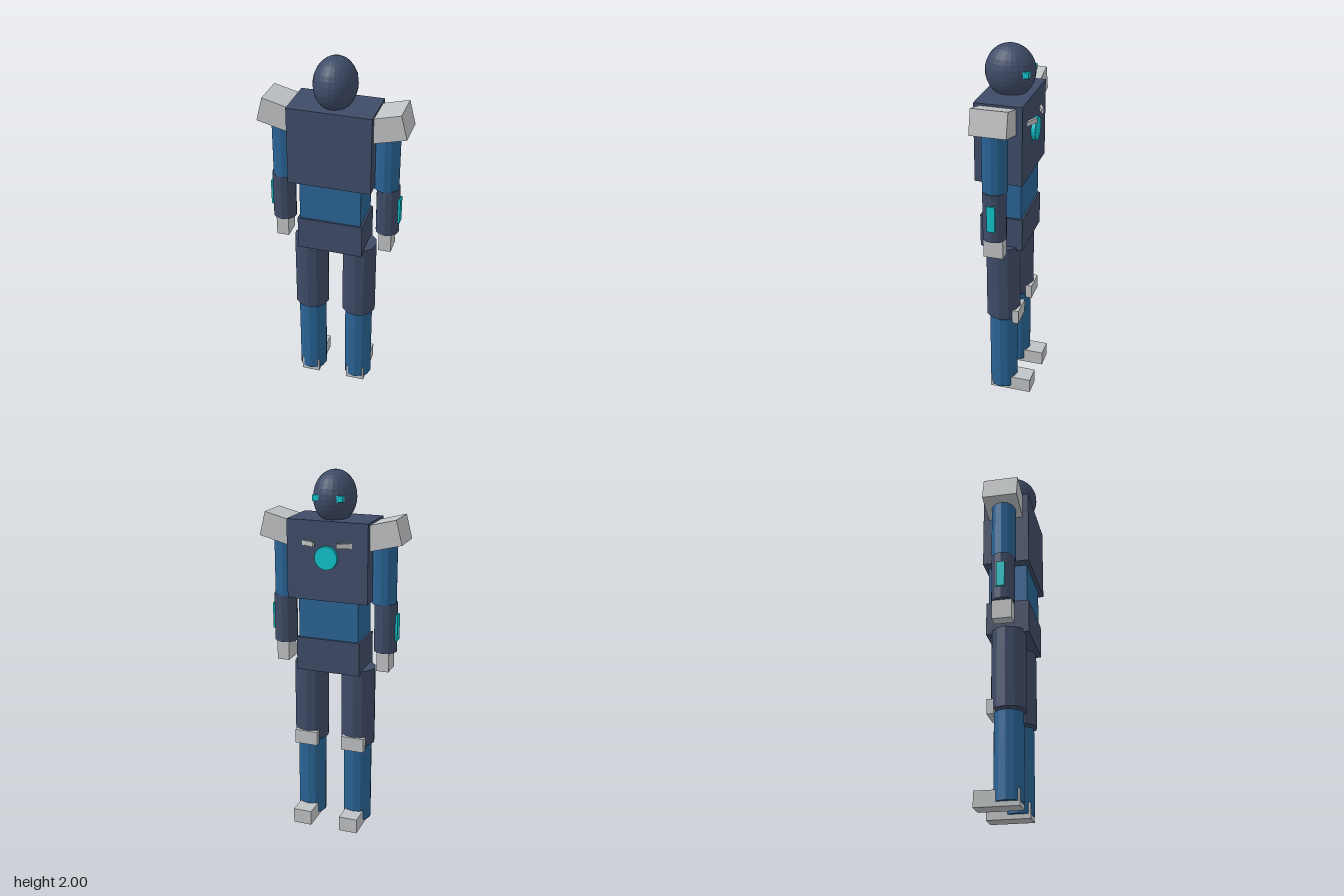
import * as THREE from 'three';

const paint = (name, color) => {
  const m = new THREE.MeshStandardMaterial({ color, flatShading: true });
  m.name = name;
  return m;
};

export function createModel() {
  const navy = paint('navy', 0x3f4c68);
  const blue = paint('blue', 0x2a6496);
  const grey = paint('lightGrey', 0xc0c3c5);
  const cyan = paint('cyan', 0x10c4cc);

  const model = new THREE.Group();
  model.name = 'robot';
  const Z = 0.017; // depth of the body axis; the face points to -z

  const add = (name, geometry, material, x, y, z, parent = model) => {
    const mesh = new THREE.Mesh(geometry, material);
    mesh.name = name;
    mesh.position.set(x, y, z);
    parent.add(mesh);
    return mesh;
  };
  // Box given by its size and vertical range
  const box = (name, mat, w, d, y0, y1, x, z, parent) =>
    add(name, new THREE.BoxGeometry(w, y1 - y0, d), mat, x, (y0 + y1) / 2, z, parent);
  // Twelve-sided limb segment
  const limb = (name, mat, r, y0, y1, x, parent) =>
    add(name, new THREE.CylinderGeometry(r, r, y1 - y0, 12), mat, x, (y0 + y1) / 2, Z, parent);

  // Body
  box('chest', navy, 0.446, 0.253, 1.328, 1.752, 0, Z);
  box('waist', blue, 0.334, 0.211, 1.11, 1.33, 0, Z);
  box('pelvis', navy, 0.356, 0.232, 0.925, 1.11, 0, Z);

  // Head
  add('head', new THREE.SphereGeometry(1, 24, 16), navy, 0, 1.86, Z).scale.set(0.113, 0.14, 0.132);

  // Round chest light
  const light = add('chestLight', new THREE.CylinderGeometry(0.062, 0.062, 0.03, 20), cyan, 0, 1.562, -0.115);
  light.rotation.x = Math.PI / 2;

  for (const s of [1, -1]) {
    const side = s > 0 ? 'left' : 'right';

    // Eye and chest chevron
    box(side + 'Eye', cyan, 0.046, 0.03, 1.85, 1.881, s * 0.06, -0.085);
    box(side + 'Chevron', grey, 0.1, 0.014, 1.62, 1.645, s * 0.107, -0.116).rotation.y = -s * 0.43;

    // Arm
    const arm = new THREE.Group();
    arm.name = side + 'Arm';
    model.add(arm);
    box('shoulderPad', grey, 0.19, 0.19, 1.622, 1.754, s * 0.284, Z, arm).rotation.z = s * 0.25;
    limb('upperArm', blue, 0.068, 1.315, 1.64, s * 0.276, arm);
    limb('forearm', navy, 0.0635, 1.05, 1.318, s * 0.288, arm);
    box('forearmLight', cyan, 0.022, 0.044, 1.115, 1.258, s * 0.347, Z, arm);
    box('hand', grey, 0.068, 0.106, 0.945, 1.06, s * 0.288, Z, arm);

    // Leg
    const leg = new THREE.Group();
    leg.name = side + 'Leg';
    model.add(leg);
    limb('thigh', navy, 0.095, 0.5, 0.942, s * 0.137, leg);
    limb('shin', blue, 0.079, 0.025, 0.488, s * 0.137, leg);
    box('kneePad', grey, 0.13, 0.037, 0.472, 0.552, s * 0.137, -0.067, leg);
    box('foot', grey, 0.105, 0.235, 0, 0.084, s * 0.137, -0.034, leg);
  }
  return model;
}
